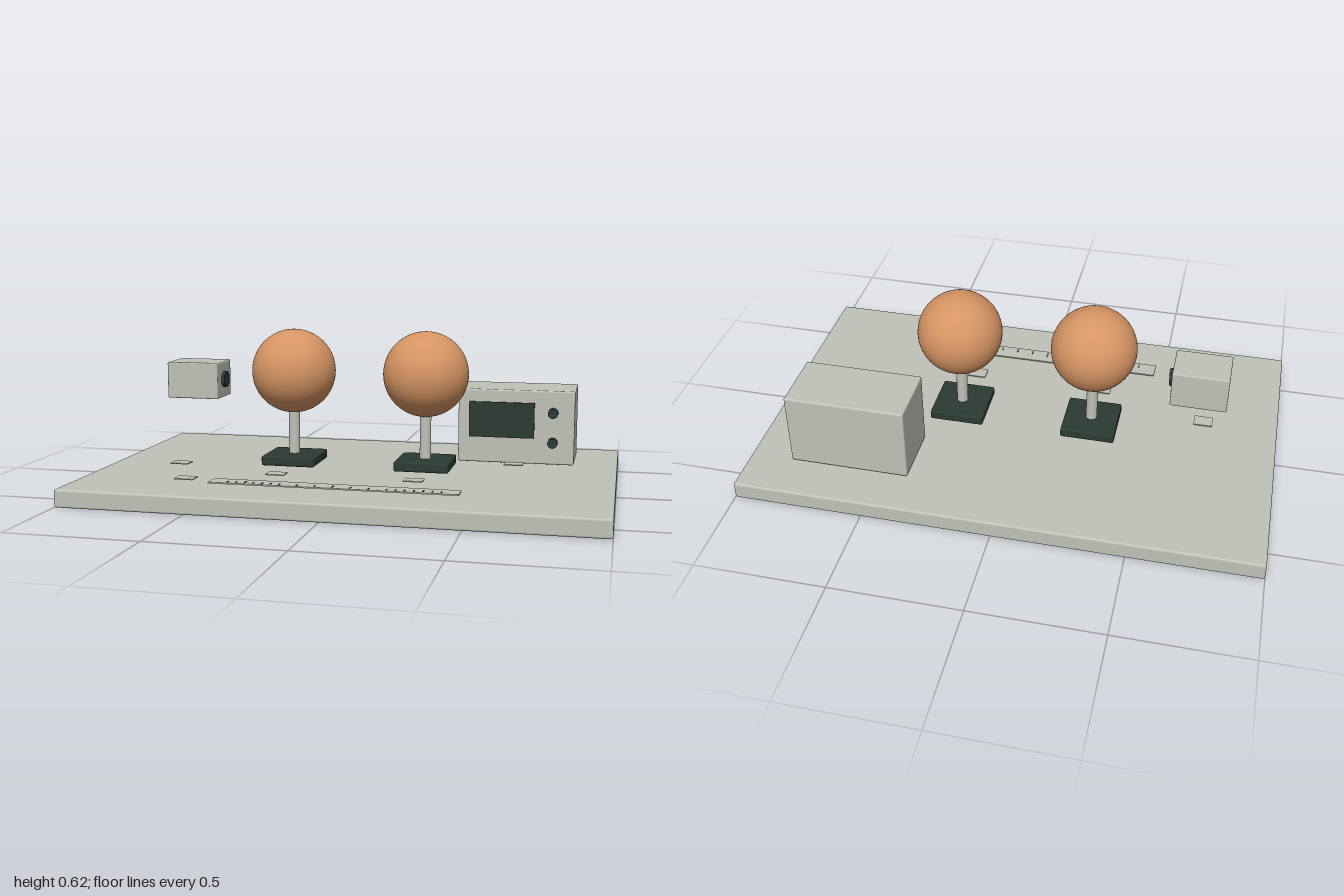
import * as THREE from 'three';
import { RoundedBoxGeometry } from 'three/addons/geometries/RoundedBoxGeometry.js';

const mat = (name, color) => {
  const m = new THREE.MeshStandardMaterial({ color });
  m.name = name;
  return m;
};

export function createModel() {
  const model = new THREE.Group();
  model.name = 'sphereExperiment';
  const grey = mat('warm grey', 0xc0c2b9);
  const dark = mat('dark green', 0x2b3a35);
  const copper = mat('copper', 0xd69563);

  const add = (name, geometry, material, x, y, z, parent = model) => {
    const mesh = new THREE.Mesh(geometry, material);
    mesh.name = name;
    mesh.position.set(x, y, z);
    parent.add(mesh);
    return mesh;
  };
  const group = (name) => {
    const g = new THREE.Group();
    g.name = name;
    model.add(g);
    return g;
  };
  const rounded = (w, h, d, r) => new RoundedBoxGeometry(w, h, d, 3, r);

  // Base board
  add('baseBoard', rounded(2, 0.068, 1.266, 0.008), grey, 0, 0.034, 0);

  // Two copper spheres on posts with square feet
  for (const side of [-1, 1]) {
    const stand = group(side < 0 ? 'rightSphereStand' : 'leftSphereStand');
    const x = side * 0.266;
    add('foot', rounded(0.214, 0.038, 0.214, 0.007), dark, x, 0.102, 0, stand);
    add('post', new THREE.CylinderGeometry(0.022, 0.022, 0.2, 32), grey, x, 0.214, 0, stand);
    add('sphere', new THREE.SphereGeometry(0.166, 64, 40), copper, x, 0.452, 0, stand);
  }

  // Floating sensor box with its lens pointing at the spheres
  const sensor = group('sensor');
  add('sensorBody', rounded(0.213, 0.146, 0.162, 0.005), grey, -0.686, 0.403, -0.053, sensor);
  const lens = add('lens', new THREE.CylinderGeometry(0.033, 0.033, 0.016, 32), dark, -0.575, 0.403, -0.053, sensor);
  lens.rotation.z = Math.PI / 2;

  // Meter with screen and two knobs
  const meter = group('meter');
  add('meterBody', rounded(0.465, 0.298, 0.248, 0.007), grey, 0.597, 0.223, -0.335, meter);
  add('screen', new THREE.BoxGeometry(0.262, 0.143, 0.008), dark, 0.54, 0.25, -0.207, meter);
  for (const y of [0.284, 0.164]) {
    const knob = add('knob', new THREE.CylinderGeometry(0.02, 0.02, 0.026, 24), dark, 0.745, y, -0.198, meter);
    knob.rotation.x = Math.PI / 2;
  }

  // Ruler, with finer divisions towards both ends
  const ruler = group('ruler');
  add('rulerStrip', new THREE.BoxGeometry(0.934, 0.005, 0.072), grey, -0.003, 0.081, 0.415, ruler);
  for (let i = -12; i <= 12; i++) {
    if (Math.abs(i) < 6 && i % 2) continue;
    const depth = i % 5 === 0 ? 0.028 : 0.018;
    add('tick', new THREE.BoxGeometry(0.004, 0.002, depth), dark, i * 0.0333, 0.0845, 0.44 - depth / 2, ruler);
  }

  // Small blank tags lying beside each item
  const tags = [[-0.705, 0.082, 0.114], [-0.57, 0.087, 0.414], [-0.27, 0.082, 0.24], [0.264, 0.082, 0.24], [0.597, 0.082, -0.154]];
  for (const [x, y, z] of tags) {
    add('tag', new THREE.BoxGeometry(0.074, 0.004, 0.056), grey, x, y, z);
  }
  return model;
}
